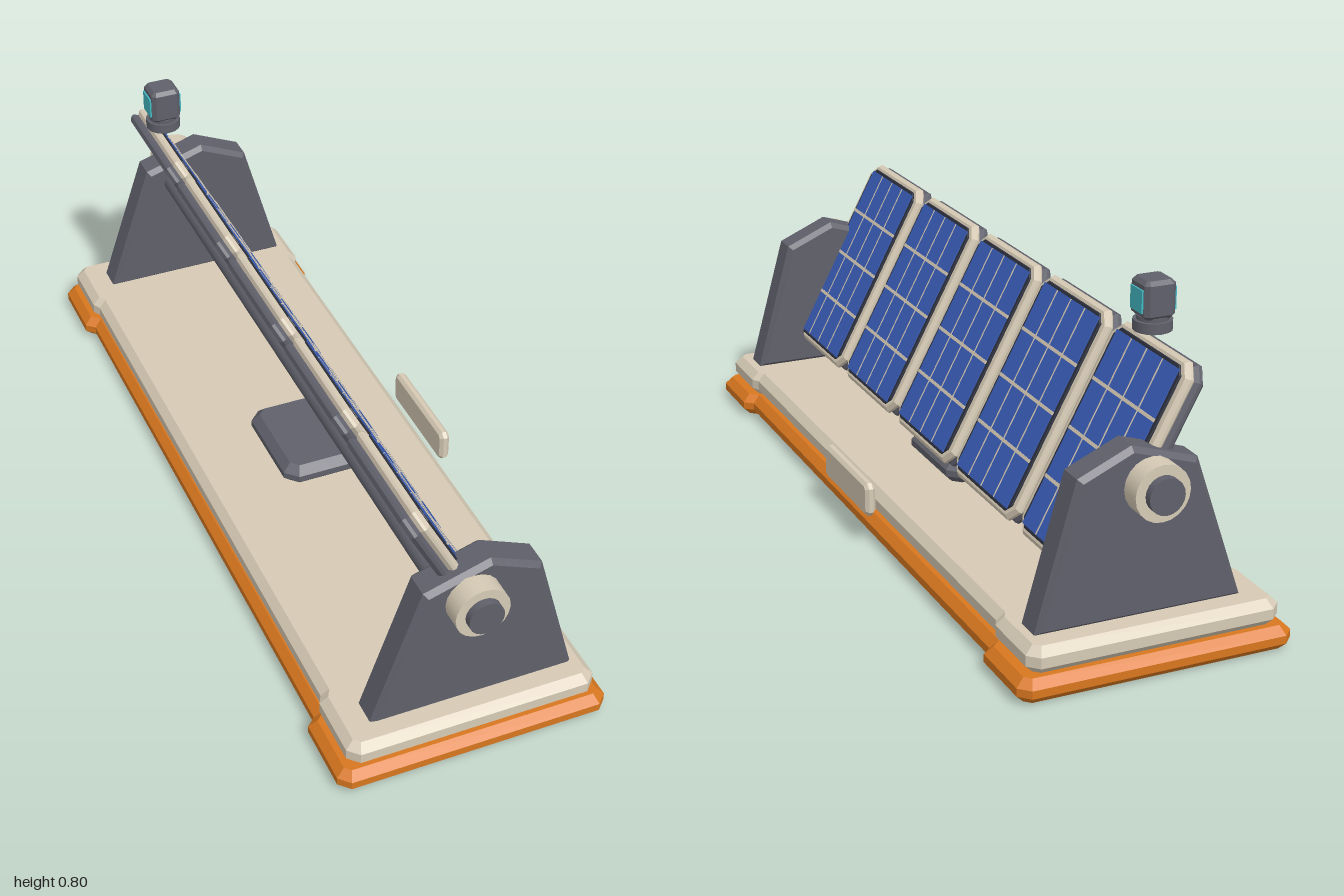
import * as THREE from 'three';

const mat = (name, color, extra = {}) => {
  const m = new THREE.MeshStandardMaterial({ color, ...extra });
  m.name = name;
  return m;
};

export function createModel() {
  const root = new THREE.Group();
  root.name = 'solarArray';
  const orange = mat('orange', 0xd8771f);
  const cream = mat('cream', 0xd6cab5);
  const grey = mat('slateGrey', 0x60606b);
  const dark = mat('darkBacking', 0x2c303c);
  const blue = mat('cellBlue', 0x3a5db8);
  const cyan = mat('lensCyan', 0x46bcc8);

  const add = (parent, name, geo, material, x = 0, y = 0, z = 0) => {
    const m = new THREE.Mesh(geo, material);
    m.name = name;
    m.position.set(x, y, z);
    parent.add(m);
    return m;
  };

  // Outline extruded along z from 0 to h, with a flat bevel kept inside the outline
  const bevelled = (pts, h, b) => {
    const g = new THREE.ExtrudeGeometry(new THREE.Shape(pts.map(p => new THREE.Vector2(p[0], p[1]))), {
      depth: h - 2 * b, bevelEnabled: true, bevelSegments: 1,
      bevelSize: b, bevelOffset: -b, bevelThickness: b,
    });
    return g.translate(0, 0, b);
  };
  // Same, lying flat and rising along y
  const flat = (pts, h, b) => bevelled(pts, h, b).rotateX(-Math.PI / 2);

  // Rectangle with cut corners
  const cutRect = (w, d, c) => {
    const x = w / 2, y = d / 2;
    return [[x - c, -y], [x, -y + c], [x, y - c], [x - c, y], [-x + c, y], [-x, y - c], [-x, -y + c], [-x + c, -y]];
  };

  // Base outline: wide ends, narrower middle
  const baseOutline = (end, mid, len, step, c) => {
    const q = [[mid, step - 0.02], [end, step], [end, len - c], [end - c, len]];
    const r = [...q].reverse();
    return [
      ...q, ...r.map(([x, y]) => [-x, y]),
      ...q.map(([x, y]) => [-x, -y]), ...r.map(([x, y]) => [x, -y]),
    ];
  };
  add(root, 'baseSkirt', flat(baseOutline(0.33, 0.308, 1, 0.81, 0.025), 0.057, 0.019), orange, -0.005, 0, 0);
  add(root, 'baseDeck', flat(baseOutline(0.303, 0.292, 0.985, 0.81, 0.025), 0.063, 0.019), cream, -0.005, 0.057, 0);

  // Side cover plate and the control box under the panels
  add(root, 'sideCover', bevelled(cutRect(0.285, 0.085, 0.012), 0.026, 0.008).rotateY(Math.PI / 2), cream, 0.305, 0.122, 0);
  add(root, 'controlBox', flat(cutRect(0.22, 0.28, 0.03), 0.056, 0.02), grey, 0, 0.118, 0);

  // End supports with their pivot bearings
  const pivotY = 0.42;
  const supportOutline = [[-0.235, 0.118], [0.26, 0.118], [0.165, 0.457], [0.04, 0.512], [-0.118, 0.462]];
  for (const s of [-1, 1]) {
    const end = new THREE.Group();
    end.name = s > 0 ? 'frontSupport' : 'backSupport';
    root.add(end);
    add(end, 'supportPlate', bevelled(supportOutline, 0.083, 0.012), grey, 0, 0, s * 0.888 - 0.0415);
    add(end, 'bearingRing', new THREE.CylinderGeometry(0.065, 0.065, 0.055, 20).rotateX(Math.PI / 2), cream, -0.004, pivotY, s * 0.9525);
    add(end, 'bearingCap', new THREE.CylinderGeometry(0.042, 0.042, 0.04, 20).rotateX(Math.PI / 2), grey, -0.004, pivotY, s * 0.979);
  }

  // Torque tube behind the panels
  add(root, 'torqueTube', new THREE.CylinderGeometry(0.023, 0.023, 1.72, 16).rotateX(Math.PI / 2), grey, -0.05, pivotY, 0);

  // Tilted panels: local y is the face normal, local x runs down the slope
  const panelGeo = {
    back: flat(cutRect(0.53, 0.345, 0.032), 0.026, 0.009),
    frame: flat(cutRect(0.53, 0.345, 0.032), 0.025, 0.009),
    inset: flat(cutRect(0.498, 0.3, 0.02), 0.006, 0.002),
    cell: new THREE.BoxGeometry(0.119, 0.004, 0.068),
    rowLine: new THREE.BoxGeometry(0.008, 0.004, 0.28),
    columnLine: new THREE.BoxGeometry(0.482, 0.004, 0.004),
  };
  for (let i = -2; i <= 2; i++) {
    const panel = new THREE.Group();
    panel.name = 'solarPanel';
    panel.position.set(-0.006, 0.417, i * 0.364);
    panel.rotation.z = -1.082;
    root.add(panel);
    add(panel, 'panelBack', panelGeo.back, grey, 0, -0.03, 0);
    add(panel, 'panelFrame', panelGeo.frame, cream, 0, -0.005, 0);
    add(panel, 'panelInset', panelGeo.inset, dark, 0, 0.019, 0);
    for (let r = 0; r < 4; r++) {
      for (let c = 0; c < 4; c++) {
        add(panel, 'solarCell', panelGeo.cell, blue, (r - 1.5) * 0.121, 0.0255, (c - 1.5) * 0.07);
      }
    }
    for (let k = -1; k <= 1; k++) {
      add(panel, 'rowLine', panelGeo.rowLine, cream, k * 0.121, 0.0268, 0);
      add(panel, 'columnLine', panelGeo.columnLine, cream, 0, 0.0264, k * 0.07);
    }
  }

  // Sensor head above the last panel, with a lens on each side
  const sensor = new THREE.Group();
  sensor.name = 'sensor';
  sensor.position.set(-0.108, 0, -0.725);
  root.add(sensor);
  add(sensor, 'sensorFoot', new THREE.CylinderGeometry(0.044, 0.044, 0.024, 16), grey, 0, 0.697, 0);
  add(sensor, 'sensorNeck', new THREE.CylinderGeometry(0.036, 0.036, 0.012, 16), grey, 0, 0.712, 0);
  add(sensor, 'sensorBody', flat(cutRect(0.076, 0.076, 0.01), 0.087, 0.009), grey, 0, 0.715, 0);
  for (const s of [-1, 1]) {
    add(sensor, 'sensorLens', new THREE.BoxGeometry(0.006, 0.052, 0.052), cyan, s * 0.039, 0.757, 0);
  }

  return root;
}
